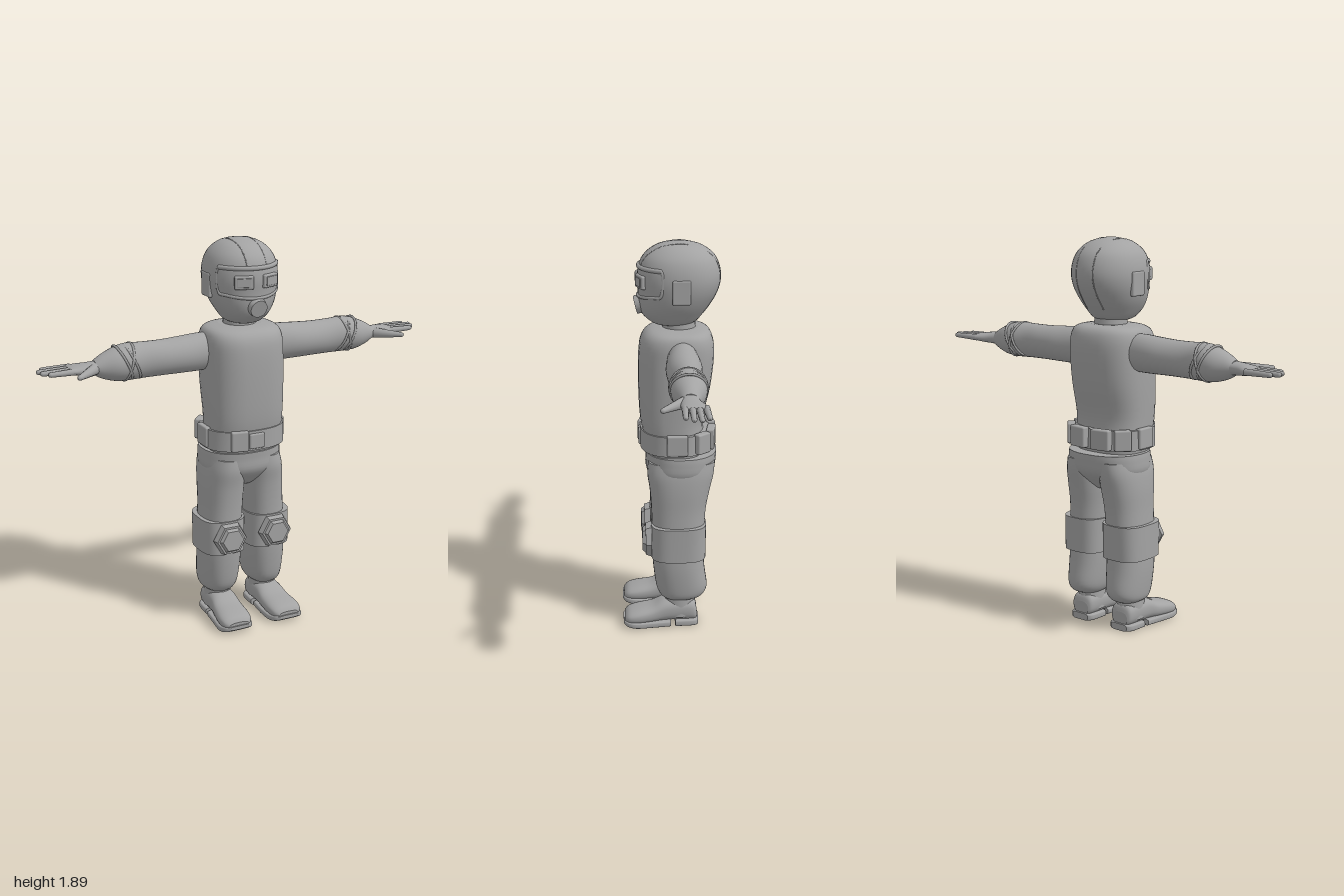
import * as THREE from 'three';
import { RoundedBoxGeometry } from 'three/addons/geometries/RoundedBoxGeometry.js';

const grey = new THREE.MeshStandardMaterial({ color: 0xa3a3a3 });
grey.name = 'plain grey';

// Smooths a short list of cross-sections into a dense one
function dense(secs, k) {
  const out = [];
  const n = secs.length - 1;
  for (let i = 0; i < n; i++) {
    const a = secs[Math.max(i - 1, 0)], b = secs[i], c = secs[i + 1], d = secs[Math.min(i + 2, n)];
    for (let s = 0; s < k; s++) {
      const t = s / k;
      out.push(b.map((v, j) => v + 0.5 * t * (c[j] - a[j]
        + t * (2 * a[j] - 5 * v + 4 * c[j] - d[j] + t * (3 * (v - c[j]) + d[j] - a[j])))));
    }
  }
  out.push(secs[n]);
  return out;
}

// Capped skin over superellipse sections [along, centreP, centreQ, radiusP, radiusQ]
// axis y: p = x, q = z; axis x: p = z, q = y; axis z: p = y, q = x
function loft(axis, secs, power = 2, k = 4, sides = 32) {
  const rows = dense(secs, k), pos = [], idx = [];
  const put = (a, p, q) => pos.push(...(axis === 'y' ? [p, a, q] : axis === 'x' ? [a, q, p] : [q, p, a]));
  const ring = ([a, cp, cq, rp, rq]) => {
    for (let j = 0; j < sides; j++) {
      const c = Math.cos(j / sides * 2 * Math.PI), s = Math.sin(j / sides * 2 * Math.PI);
      put(a, cp + rp * Math.sign(c) * Math.abs(c) ** (2 / power), cq + rq * Math.sign(s) * Math.abs(s) ** (2 / power));
    }
  };
  rows.forEach(ring);
  for (let i = 0; i < rows.length - 1; i++) {
    for (let j = 0; j < sides; j++) {
      const a = i * sides + j, c = i * sides + (j + 1) % sides;
      idx.push(a, a + sides, c, c, a + sides, c + sides);
    }
  }
  [rows[0], rows[rows.length - 1]].forEach((r, end) => {
    const base = pos.length / 3;
    ring(r);
    put(r[0], r[1], r[2]);
    for (let j = 0; j < sides; j++) {
      const a = base + j, b = base + (j + 1) % sides;
      idx.push(base + sides, ...(end ? [b, a] : [a, b]));
    }
  });
  const g = new THREE.BufferGeometry();
  g.setAttribute('position', new THREE.Float32BufferAttribute(pos, 3));
  g.setIndex(idx);
  g.computeVertexNormals();
  return g;
}

// Mirrored copy across x with the corner order restored
function mirror(geo) {
  const g = geo.index ? geo.toNonIndexed() : geo.clone();
  g.scale(-1, 1, 1);
  for (const name of ['position', 'normal']) {
    const at = g.getAttribute(name);
    for (let i = 0; i < at.count; i += 3) {
      for (let c = 0; c < 3; c++) {
        const keep = at.getComponent(i + 1, c);
        at.setComponent(i + 1, c, at.getComponent(i + 2, c));
        at.setComponent(i + 2, c, keep);
      }
    }
  }
  return g;
}

const V = (x, y, z) => new THREE.Vector3(x, y, z);

// Tapered round limb between two points, with a rounded tip
function digit(a, b, r0, r1) {
  const len = a.distanceTo(b);
  const pts = [[0, 0], [r0, 0], [r1, len - r1], [r1 * 0.7, len - r1 * 0.3], [0, len]].map(p => new THREE.Vector2(...p));
  const g = new THREE.LatheGeometry(pts, 12);
  g.applyQuaternion(new THREE.Quaternion().setFromUnitVectors(V(0, 1, 0), b.clone().sub(a).normalize()));
  return g.translate(a.x, a.y, a.z);
}

function box(w, h, d, x, y, z, turn = 0, r = 0.008) {
  return new RoundedBoxGeometry(w, h, d, 2, r).rotateY(turn).translate(x, y, z);
}

export function createModel() {
  const model = new THREE.Group();
  model.name = 'helmetedFigure';
  const add = (name, geo) => {
    const m = new THREE.Mesh(geo, grey);
    m.name = name;
    model.add(m);
  };
  const pair = (name, geo) => {
    add(name + 'Left', geo);
    add(name + 'Right', mirror(geo));
  };

  // Torso and neck
  add('torso', loft('y', [[0.85, 0, -0.02, 0.17, 0.13], [0.95, 0, -0.01, 0.185, 0.145], [1.05, 0, 0, 0.19, 0.152],
    [1.2, 0, -0.013, 0.195, 0.172], [1.35, 0, -0.022, 0.195, 0.18], [1.43, 0, -0.025, 0.19, 0.17],
    [1.47, 0, -0.03, 0.165, 0.14], [1.483, 0, -0.035, 0.1, 0.09]], 2.6));
  add('neck', new THREE.CylinderGeometry(0.075, 0.082, 0.1, 24).translate(0, 1.495, -0.035));

  // Helmeted head
  const headSecs = [[1.495, 0, 0, 0.05, 0.06], [1.51, 0, -0.008, 0.09, 0.105], [1.55, 0, -0.005, 0.122, 0.145],
    [1.6, 0, -0.015, 0.15, 0.17], [1.66, 0, -0.03, 0.168, 0.188], [1.72, 0, -0.035, 0.174, 0.197],
    [1.78, 0, -0.035, 0.165, 0.188], [1.83, 0, -0.035, 0.14, 0.16], [1.87, 0, -0.035, 0.09, 0.1],
    [1.889, 0, -0.035, 0.015, 0.018]];
  add('head', loft('y', headSecs, 2.1, 4, 40));
  const headRows = dense(headSecs, 4);
  const headAt = (y) => {
    const i = Math.max(1, headRows.findIndex(r => r[0] >= y));
    const a = headRows[i - 1], b = headRows[i], t = (y - a[0]) / (b[0] - a[0]);
    return a.map((v, j) => v + (b[j] - v) * t);
  };
  const onHead = (angle, y) => {
    const [, , cz, rx, rz] = headAt(y);
    return V(rx * Math.sin(angle), y, cz + rz * Math.cos(angle));
  };

  // Goggle frame wrapping the face, brow ridge and lenses
  const frame = [];
  for (let i = 0; i <= 12; i++) frame.push(onHead(-1.1 + i * 2.2 / 12, 1.775));
  for (let i = 0; i <= 12; i++) frame.push(onHead(1.1 - i * 2.2 / 12, 1.655 - 0.02 * Math.sin(i / 12 * Math.PI)));
  add('goggleFrame', new THREE.TubeGeometry(new THREE.CatmullRomCurve3(frame, true), 96, 0.008, 8, true));
  add('browRidge', new THREE.TubeGeometry(new THREE.CatmullRomCurve3(frame.slice(0, 13)), 40, 0.011, 8));
  pair('lensFrame', box(0.09, 0.064, 0.024, 0.066, 1.712, 0.146, 0.34));
  pair('lens', box(0.066, 0.042, 0.008, 0.07, 1.712, 0.157, 0.34, 0.003));
  pair('earPad', box(0.022, 0.115, 0.085, 0.166, 1.68, -0.04));

  // Breathing filter
  const filter = new THREE.CylinderGeometry(0.042, 0.05, 0.05, 20).rotateX(Math.PI / 2 + 0.25);
  add('breathingFilter', filter.translate(0, 1.592, 0.146));

  // Seams running over the helmet
  const seam = [];
  for (const side of [1, -1]) {
    for (let i = 0; i <= 8; i++) {
      const y = side > 0 ? 1.78 + i * 0.0125 : 1.88 - i * 0.04;
      const [, , cz, rx, rz] = headAt(y);
      seam.push(V(0.05, y - 0.001, cz + side * rz * Math.sqrt(Math.max(0, 1 - (0.05 / rx) ** 2))));
    }
  }
  pair('helmetSeam', new THREE.TubeGeometry(new THREE.CatmullRomCurve3(seam), 60, 0.003, 6));

  // Arms, wrapped straps and hands
  pair('arm', loft('x', [[0.12, -0.045, 1.36, 0.068, 0.08], [0.2, -0.045, 1.36, 0.075, 0.09],
    [0.3, -0.045, 1.357, 0.084, 0.087], [0.4, -0.045, 1.355, 0.08, 0.084], [0.5, -0.047, 1.355, 0.071, 0.085],
    [0.58, -0.05, 1.355, 0.08, 0.087], [0.64, -0.05, 1.35, 0.077, 0.077], [0.7, -0.05, 1.346, 0.054, 0.055],
    [0.735, -0.05, 1.345, 0.04, 0.034]]));
  [[-0.42, 0.555], [-0.42, 0.595], [0.25, 0.575]].forEach(([tilt, x], i) => {
    const strap = new THREE.TorusGeometry(0.085, 0.006, 8, 36).rotateY(Math.PI / 2);
    pair('armStrap' + (i + 1), strap.scale(1, 1.03, 0.97).rotateZ(tilt).translate(x, 1.355, -0.05));
  });
  pair('palm', loft('x', [[0.69, -0.05, 1.345, 0.04, 0.034], [0.76, -0.05, 1.345, 0.046, 0.029],
    [0.81, -0.06, 1.345, 0.056, 0.024], [0.85, -0.067, 1.346, 0.06, 0.017], [0.86, -0.067, 1.346, 0.05, 0.01]], 2.2));
  [[-0.118, 0.975], [-0.085, 1], [-0.052, 0.992], [-0.018, 0.965]].forEach(([z, tip], i) => {
    pair('finger' + (i + 1), digit(V(0.83, 1.346, z * 0.9 - 0.006), V(tip, 1.347, z), 0.016, 0.012));
  });
  pair('thumb', digit(V(0.745, 1.345, -0.02), V(0.858, 1.343, 0.08), 0.026, 0.012));

  // Trousers
  add('trouserSeat', loft('y', [[0.69, 0, -0.035, 0.06, 0.08], [0.72, 0, -0.035, 0.14, 0.115],
    [0.78, 0, -0.04, 0.197, 0.163], [0.84, 0, -0.045, 0.201, 0.171], [0.875, 0, -0.045, 0.197, 0.173]], 2.3));
  pair('trouserLeg', loft('y', [[0.14, 0.125, -0.04, 0.06, 0.08], [0.158, 0.125, -0.045, 0.08, 0.105],
    [0.2, 0.122, -0.045, 0.092, 0.124], [0.3, 0.12, -0.032, 0.1, 0.125], [0.4, 0.118, -0.025, 0.1, 0.125],
    [0.5, 0.115, -0.028, 0.1, 0.128], [0.6, 0.11, -0.03, 0.1, 0.132], [0.7, 0.105, -0.036, 0.103, 0.145],
    [0.78, 0.1, -0.04, 0.1, 0.16], [0.84, 0.095, -0.045, 0.09, 0.16]], 2.3));

  // Belt with pouches
  add('belt', loft('y', [[0.895, 0, -0.017, 0.205, 0.168], [0.992, 0, -0.015, 0.203, 0.166]], 2.4, 1, 48));
  add('buckle', box(0.08, 0.075, 0.02, 0, 0.942, 0.15));
  add('frontPouch', box(0.085, 0.1, 0.035, -0.085, 0.947, 0.138, -0.2));
  pair('sidePouch', box(0.03, 0.1, 0.1, 0.197, 0.95, -0.02));
  pair('rearPouch', box(0.1, 0.1, 0.04, 0.068, 0.95, -0.187, -0.15));
  pair('hipPouch', box(0.08, 0.1, 0.04, 0.16, 0.95, -0.14, -0.85));

  // Knee bands and faceted pads
  pair('kneeBand', loft('y', [[0.36, 0.121, -0.029, 0.112, 0.132], [0.53, 0.121, -0.029, 0.112, 0.134]], 3, 1, 40));
  [['kneePad', 0.078, 0.088, 0.03, 0.116], ['kneePadFace', 0.056, 0.068, 0.016, 0.138]].forEach(([name, top, base, h, z]) => {
    const pad = new THREE.CylinderGeometry(top, base, h, 6, 1, false, Math.PI / 6).toNonIndexed();
    pad.computeVertexNormals();
    pair(name, pad.rotateX(Math.PI / 2).translate(0.122, 0.445, z));
  });

  // Boots with split soles
  pair('bootShaft', loft('y', [[0.05, 0.125, -0.035, 0.068, 0.078], [0.12, 0.125, -0.035, 0.064, 0.075],
    [0.18, 0.125, -0.035, 0.06, 0.07]]));
  pair('bootFoot', loft('z', [[-0.117, 0.06, 0.125, 0.033, 0.045], [-0.1, 0.076, 0.125, 0.055, 0.062],
    [-0.03, 0.08, 0.125, 0.06, 0.068], [0.04, 0.077, 0.127, 0.056, 0.071], [0.1, 0.061, 0.13, 0.044, 0.077],
    [0.17, 0.052, 0.135, 0.038, 0.082], [0.215, 0.046, 0.137, 0.03, 0.074], [0.236, 0.04, 0.137, 0.015, 0.052]], 2.5));
  pair('bootSole', loft('z', [[0.01, 0.018, 0.13, 0.016, 0.073], [0.1, 0.017, 0.131, 0.017, 0.082],
    [0.18, 0.018, 0.136, 0.017, 0.087], [0.224, 0.024, 0.137, 0.015, 0.075], [0.242, 0.03, 0.137, 0.009, 0.05]], 5));
  pair('bootHeel', loft('z', [[-0.126, 0.018, 0.125, 0.017, 0.048], [-0.1, 0.018, 0.125, 0.018, 0.068],
    [-0.012, 0.018, 0.126, 0.018, 0.073]], 5));
  return model;
}
